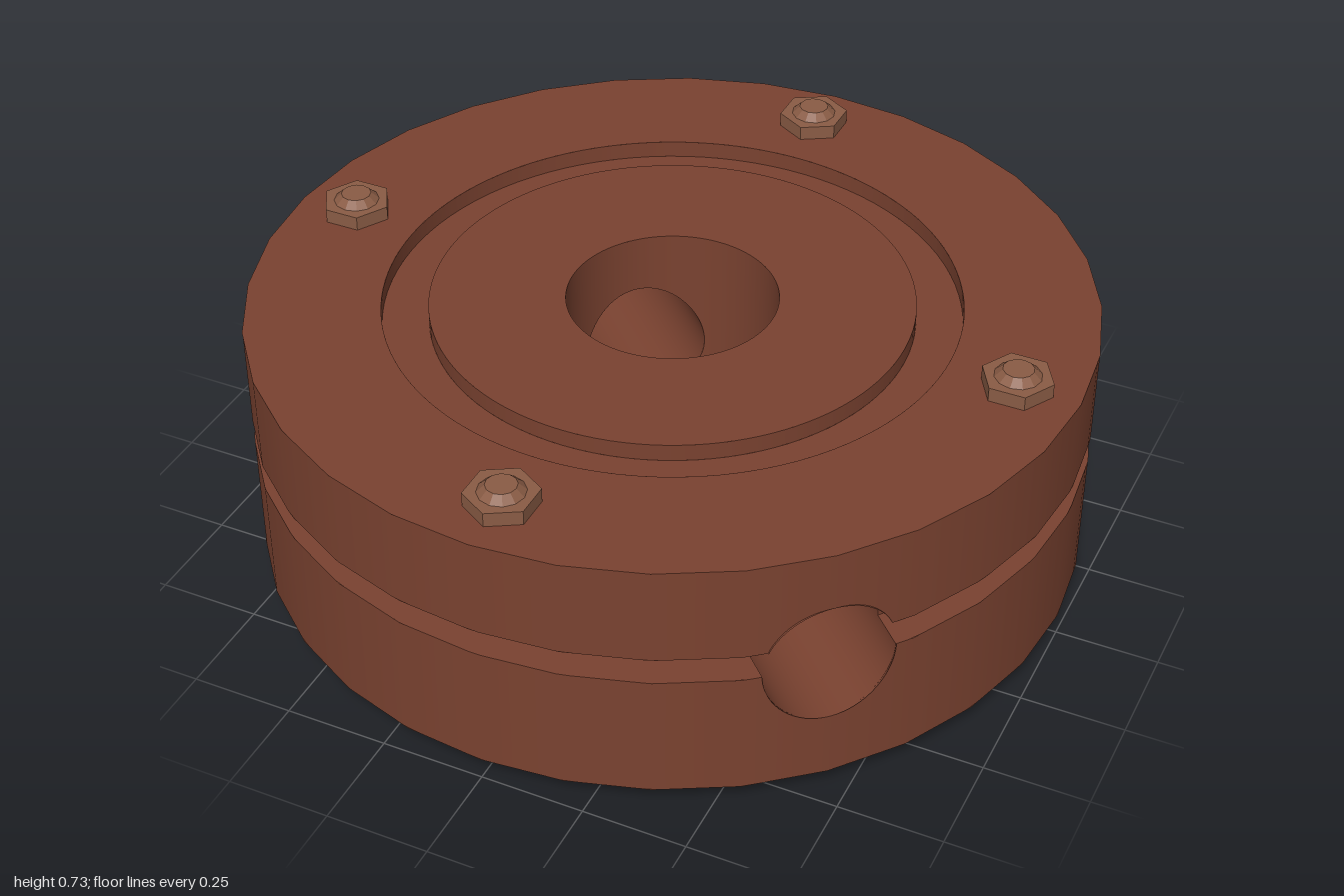
import * as THREE from 'three';
import { ParametricGeometry } from 'three/addons/geometries/ParametricGeometry.js';

const TOP = 0.675, BOTTOM = 0.055;        // plate faces
const GAP_LOW = 0.37, GAP_HIGH = 0.435;   // slot around the rim
const BORE = 0.25, CORE = 0.9, RIM = 1;   // radii
const HOLE = 0.155, AXIS = 0.375;         // cross hole radius and height
const GROOVE_IN = 0.57, GROOVE_OUT = 0.68, GROOVE_DEPTH = 0.042;

// 32-sided outline of the rim
const rimRadius = (a) => {
  const step = Math.PI / 16;
  const t = ((a % step) + step) % step;
  return RIM * Math.cos(step / 2) / Math.cos(t - step / 2);
};
const polar = (p, a, r, y) => p.set(r * Math.cos(a), y, -r * Math.sin(a));
const mix = THREE.MathUtils.lerp;

// replace normals by smooth radial ones; sign -1 faces the axis
function radialNormals(geo, sign) {
  const p = geo.attributes.position, n = geo.attributes.normal;
  for (let i = 0; i < p.count; i++) {
    const r = Math.hypot(p.getX(i), p.getZ(i));
    n.setXYZ(i, sign * p.getX(i) / r, 0, sign * p.getZ(i) / r);
  }
  return geo;
}

// flat ring, facing up when rA > rB
const ring = (y, rA, rB) => new ParametricGeometry((u, v, p) => {
  const a = u * Math.PI * 2;
  const edge = (r) => (r === RIM ? rimRadius(a) : r);
  polar(p, a, mix(edge(rA), edge(rB), v), y);
}, 128, 1);

// plain round wall, facing out when yA < yB
const roundWall = (r, yA, yB) => radialNormals(new ParametricGeometry((u, v, p) =>
  polar(p, u * Math.PI * 2, r, mix(yA, yB, v)), 96, 1), Math.sign(yB - yA));

// half of a round wall whose edges follow the cross hole; h is the hole's half height
const cutWall = (r, from, to, sign = 1) => radialNormals(new ParametricGeometry((u, v, p) => {
  const a0 = Math.asin(HOLE / r), open = u < 0.5;
  const a = open ? Math.asin(-HOLE / r * Math.cos(2 * Math.PI * u)) : mix(a0, Math.PI - a0, 2 * u - 1);
  const h = open ? HOLE * Math.sin(2 * Math.PI * u) : 0;
  polar(p, a, r === RIM ? rimRadius(a) : r, mix(from(h, open), to(h, open), v));
}, 128, 1), sign);

// half of a slot ledge, ending at the cross hole
const ledge = (y, rA, rB) => new ParametricGeometry((u, v, p) => {
  const half = Math.sqrt(HOLE ** 2 - (y - AXIS) ** 2);
  const end = (r) => {
    const a0 = Math.asin(half / r), a = mix(a0, Math.PI - a0, u);
    return polar(new THREE.Vector3(), a, r === RIM ? rimRadius(a) : r, y);
  };
  p.lerpVectors(end(rA), end(rB), v);
}, 96, 1);

// strip of the cross hole's inside, from radius r in to the bore
const tunnel = (a0, a1, r) => new ParametricGeometry((u, v, p) => {
  const a = mix(a0, a1, u), s = HOLE * Math.cos(a);
  p.set(mix(Math.sqrt(r * r - s * s), Math.sqrt(BORE * BORE - s * s), v), AXIS + HOLE * Math.sin(a), -s);
}, 32, 1);

export function createModel() {
  const model = new THREE.Group();
  const bodyMat = new THREE.MeshStandardMaterial({ color: 0x7a4230, side: THREE.DoubleSide });
  const boltMat = new THREE.MeshStandardMaterial({ color: 0x8a5c45, flatShading: true });
  const add = (parent, name, geo, mat = bodyMat) => {
    const mesh = new THREE.Mesh(geo, mat);
    mesh.name = name;
    parent.add(mesh);
    return mesh;
  };

  const body = new THREE.Group();
  body.name = 'body';
  body.rotation.y = -Math.PI / 4; // cross hole runs diagonally
  model.add(body);

  // plate faces with a ring groove, top and bottom
  for (const [side, y, inward] of [['top', TOP, -1], ['bottom', BOTTOM, 1]]) {
    const face = (yy, rOut, rIn) => (inward < 0 ? ring(yy, rOut, rIn) : ring(yy, rIn, rOut));
    const floor = y + inward * GROOVE_DEPTH;
    const low = Math.min(y, floor), high = Math.max(y, floor);
    add(body, side + 'OuterFace', face(y, RIM, GROOVE_OUT));
    add(body, side + 'InnerFace', face(y, GROOVE_IN, BORE));
    add(body, side + 'GrooveFloor', face(floor, GROOVE_OUT, GROOVE_IN));
    add(body, side + 'GrooveInnerWall', roundWall(GROOVE_IN, low, high));
    add(body, side + 'GrooveOuterWall', roundWall(GROOVE_OUT, high, low));
  }

  // two equal halves, each with one mouth of the cross hole
  const gapHighAngle = Math.asin((GAP_HIGH - AXIS) / HOLE);
  const gapLowAngle = Math.asin((GAP_LOW - AXIS) / HOLE);
  for (let i = 0; i < 2; i++) {
    const half = new THREE.Group();
    half.name = 'bodyHalf';
    half.rotation.y = i * Math.PI;
    body.add(half);
    add(half, 'upperRim', cutWall(RIM, (h) => Math.max(GAP_HIGH, AXIS + h), () => TOP));
    add(half, 'lowerRim', cutWall(RIM, () => BOTTOM, (h) => Math.min(GAP_LOW, AXIS - h)));
    add(half, 'slotCore', cutWall(CORE,
      (h, open) => (open ? Math.min(GAP_HIGH, AXIS + h) : GAP_LOW), () => GAP_HIGH));
    add(half, 'upperLedge', ledge(GAP_HIGH, CORE, RIM));
    add(half, 'lowerLedge', ledge(GAP_LOW, RIM, CORE));
    add(half, 'upperBore', cutWall(BORE, () => TOP, (h) => AXIS + h, -1));
    add(half, 'lowerBore', cutWall(BORE, (h) => AXIS - h, () => BOTTOM, -1));
    add(half, 'crossHoleRoof', tunnel(gapHighAngle, Math.PI - gapHighAngle, RIM));
    add(half, 'crossHoleFloor', tunnel(Math.PI - gapLowAngle, Math.PI * 2 + gapLowAngle, RIM));
    add(half, 'crossHoleSide', tunnel(gapLowAngle, gapHighAngle, CORE));
    add(half, 'crossHoleSide', tunnel(Math.PI - gapHighAngle, Math.PI - gapLowAngle, CORE));
  }

  // hex bolts through both plates
  const hex = new THREE.CylinderGeometry(0.085, 0.085, 0.035, 6);
  const tip = new THREE.CylinderGeometry(0.036, 0.055, 0.018, 12);
  for (let i = 0; i < 4; i++) {
    const bolt = new THREE.Group();
    bolt.name = 'bolt';
    bolt.rotation.y = i * Math.PI / 2;
    model.add(bolt);
    for (const [y, dir] of [[TOP, 1], [BOTTOM, -1]]) {
      const nut = add(bolt, 'hexNut', hex, boltMat);
      nut.position.set(0.85, y + dir * 0.0175, 0);
      nut.rotation.y = Math.PI / 6;
      const end = add(bolt, 'boltTip', tip, boltMat);
      end.position.set(0.85, y + dir * 0.044, 0);
      if (dir < 0) end.rotation.x = Math.PI;
    }
  }
  return model;
}
